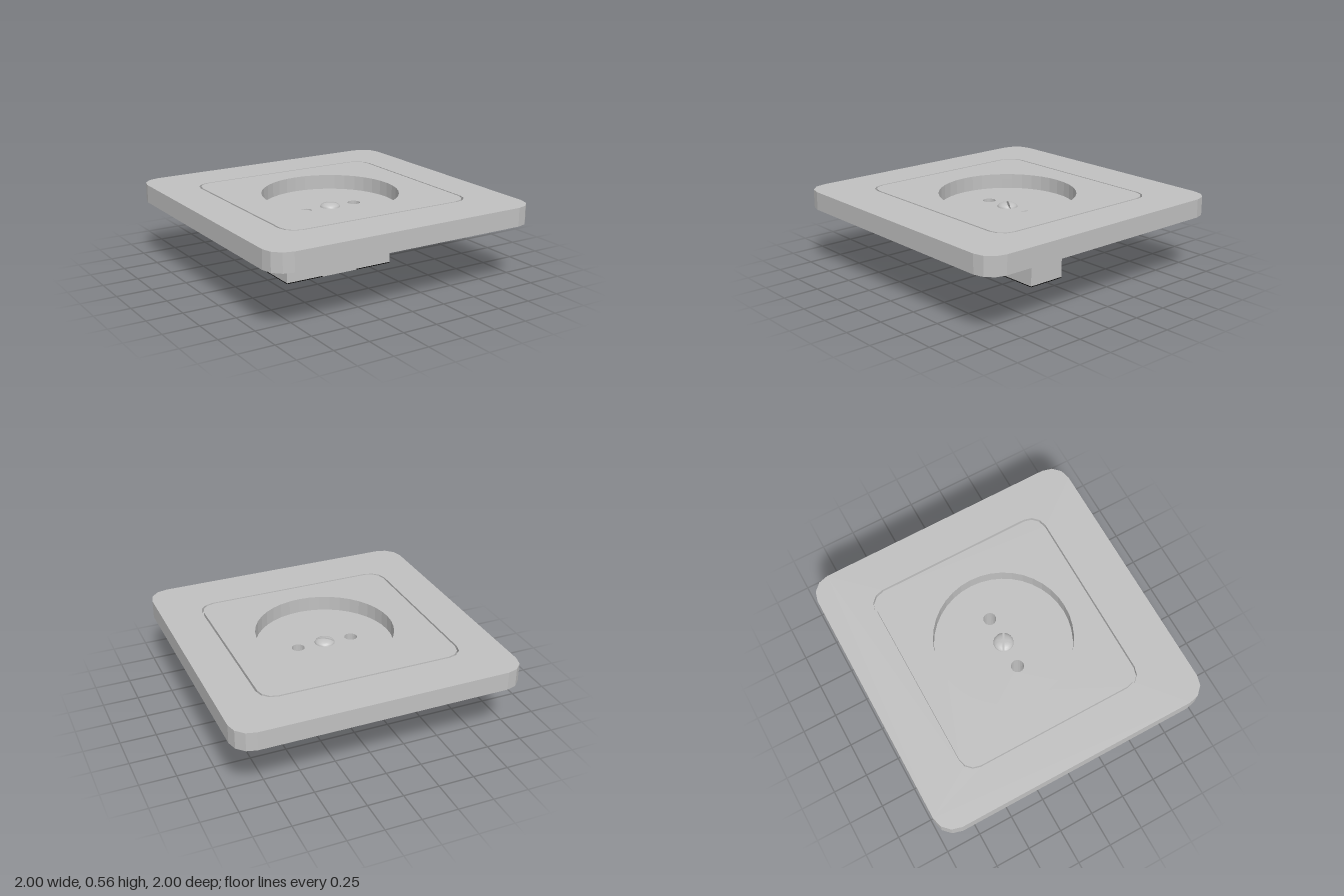
import * as THREE from 'three';
import { toCreasedNormals } from 'three/addons/utils/BufferGeometryUtils.js';

const CX = 0.01, CZ = -0.005; // centre of the socket well
const BOTTOM = 0.425, TOP = 0.555, FLOOR = 0.45, GROOVE = 0.52;

// Rounded rectangle with three facets per corner, in plan (shape y = -z)
function roundedRect(cx, cz, hw, hd, r) {
  const pts = [];
  [[1, 1], [-1, 1], [-1, -1], [1, -1]].forEach(([sx, sy], i) => {
    for (let k = 0; k <= 3; k++) {
      const a = (i + k / 3) * Math.PI / 2;
      pts.push(new THREE.Vector2(cx + sx * (hw - r) + r * Math.cos(a), -cz + sy * (hd - r) + r * Math.sin(a)));
    }
  });
  return pts;
}

function circle(cx, cz, r, n) {
  return Array.from({ length: n }, (_, i) => {
    const a = i / n * Math.PI * 2;
    return new THREE.Vector2(cx + r * Math.cos(a), -cz + r * Math.sin(a));
  });
}

// Vertical slab from y0 to y1 with through holes
function slab(name, outline, holes, y0, y1, material) {
  const shape = new THREE.Shape(outline);
  holes.forEach(h => shape.holes.push(new THREE.Path(h)));
  const geo = new THREE.ExtrudeGeometry(shape, { depth: y1 - y0, bevelEnabled: false });
  geo.rotateX(-Math.PI / 2).translate(0, y0, 0);
  const mesh = new THREE.Mesh(geo, material);
  mesh.name = name;
  return mesh;
}

export function createModel() {
  const grey = new THREE.MeshStandardMaterial({ color: 0xc0c0c0 });
  grey.name = 'grey plastic';
  const black = new THREE.MeshStandardMaterial({ color: 0x050505 });
  black.name = 'black contact';

  const model = new THREE.Group();
  model.name = 'wallSocket';

  const outer = roundedRect(0, 0, 1, 1, 0.14);
  const grooveOuter = roundedRect(0.002, -0.01, 0.718, 0.675, 0.115);
  const grooveInner = roundedRect(0.002, -0.01, 0.705, 0.662, 0.105);
  const well = circle(CX, CZ, 0.48, 40);
  const pinHoles = [-0.198, 0.198].map(dx => circle(CX + dx, CZ, 0.045, 20));

  // Cover plate: base layer, floor of the well, then frame and centre panel split by a fine groove
  model.add(slab('plateBase', outer, pinHoles, BOTTOM, FLOOR, grey));
  model.add(slab('plateCore', outer, [well], FLOOR, GROOVE, grey));
  model.add(slab('frame', outer, [grooveOuter], GROOVE, TOP, grey));
  model.add(slab('centrePanel', grooveInner, [well], GROOVE, TOP, grey));

  // Rear housing with the pin channels running through it
  const [x0, x1, z0, z1] = [-0.427, 0.423, -0.142, 0.142];
  const block = [[x0, -z1], [x1, -z1], [x1, -z0], [x0, -z0]].map(p => new THREE.Vector2(...p));
  model.add(slab('housing', block, pinHoles, 0.006, BOTTOM, grey));

  // Underside of the housing: black contacts either side of a grey strip
  const third = (x1 - x0) / 3;
  ['rightContact', 'housingStrip', 'leftContact'].forEach((name, i) => {
    const pad = new THREE.Mesh(new THREE.BoxGeometry(third, 0.006, z1 - z0), i === 1 ? grey : black);
    pad.position.set(x0 + third * (i + 0.5), 0.003, 0);
    pad.name = name;
    model.add(pad);
  });

  // Domed screw: two halves, flattened along the slot
  const screw = new THREE.Group();
  screw.name = 'screw';
  for (const turn of [0, Math.PI]) {
    const dome = new THREE.SphereGeometry(0.07, 32, 8, 0, Math.PI * 2, 0, Math.PI / 2);
    dome.scale(1, 0.45, 1);
    const p = dome.attributes.position;
    for (let i = 0; i < p.count; i++) p.setZ(i, Math.max(p.getZ(i), 0.007));
    const half = new THREE.Mesh(toCreasedNormals(dome, 0.6), grey);
    half.rotation.y = turn;
    half.name = 'screwHalf';
    screw.add(half);
  }
  screw.position.set(CX, FLOOR, CZ);
  screw.rotation.y = -0.52;
  model.add(screw);

  return model;
}
